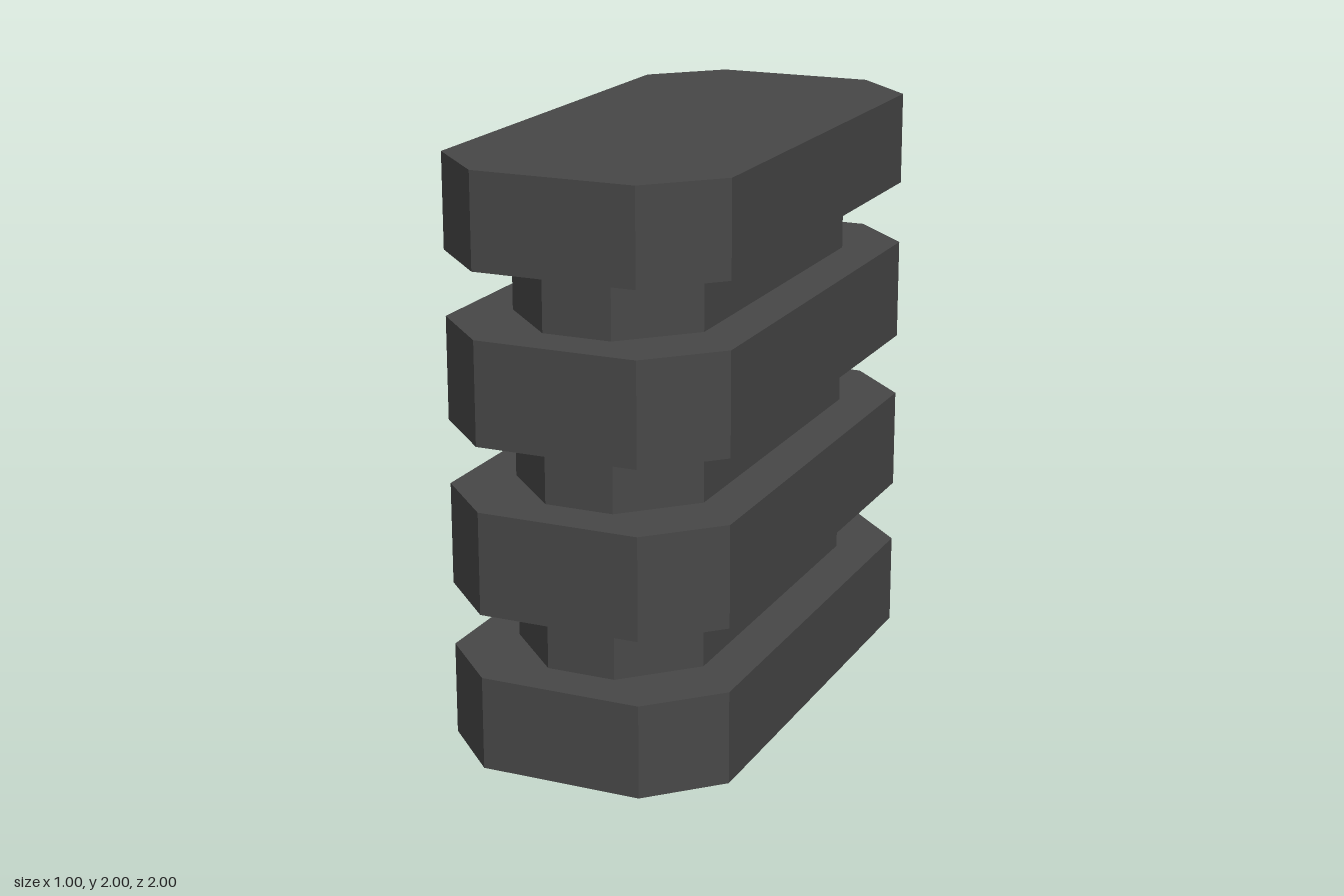
import * as THREE from 'three';

const material = new THREE.MeshStandardMaterial({ color: 0x484848, flatShading: true });

// Upright prism with a rectangular plan and four chamfered corners
function chamferedSlab(name, halfX, halfZ, chamfer, bottom, top) {
  const cx = halfX - chamfer, cz = halfZ - chamfer;
  const plan = new THREE.Shape([
    [cx, -halfZ], [halfX, -cz], [halfX, cz], [cx, halfZ],
    [-cx, halfZ], [-halfX, cz], [-halfX, -cz], [-cx, -halfZ],
  ].map(([x, z]) => new THREE.Vector2(x, z)));
  const geometry = new THREE.ExtrudeGeometry(plan, { depth: top - bottom, bevelEnabled: false });
  geometry.rotateX(-Math.PI / 2);
  const mesh = new THREE.Mesh(geometry, material);
  mesh.name = name;
  mesh.position.y = bottom;
  return mesh;
}

export function createModel() {
  const model = new THREE.Group();
  model.name = 'ribbedBlock';

  // Heights where wide ribs and recessed necks alternate
  const levels = [0, 0.32, 0.54, 0.89, 1.11, 1.46, 1.68, 2];
  for (let i = 0; i < levels.length - 1; i++) {
    const isRib = i % 2 === 0;
    const inset = isRib ? 0 : 0.16;
    const name = (isRib ? 'rib' : 'neck') + (Math.floor(i / 2) + 1);
    model.add(chamferedSlab(name, 0.5 - inset, 1 - inset, 0.22, levels[i], levels[i + 1]));
  }
  return model;
}
